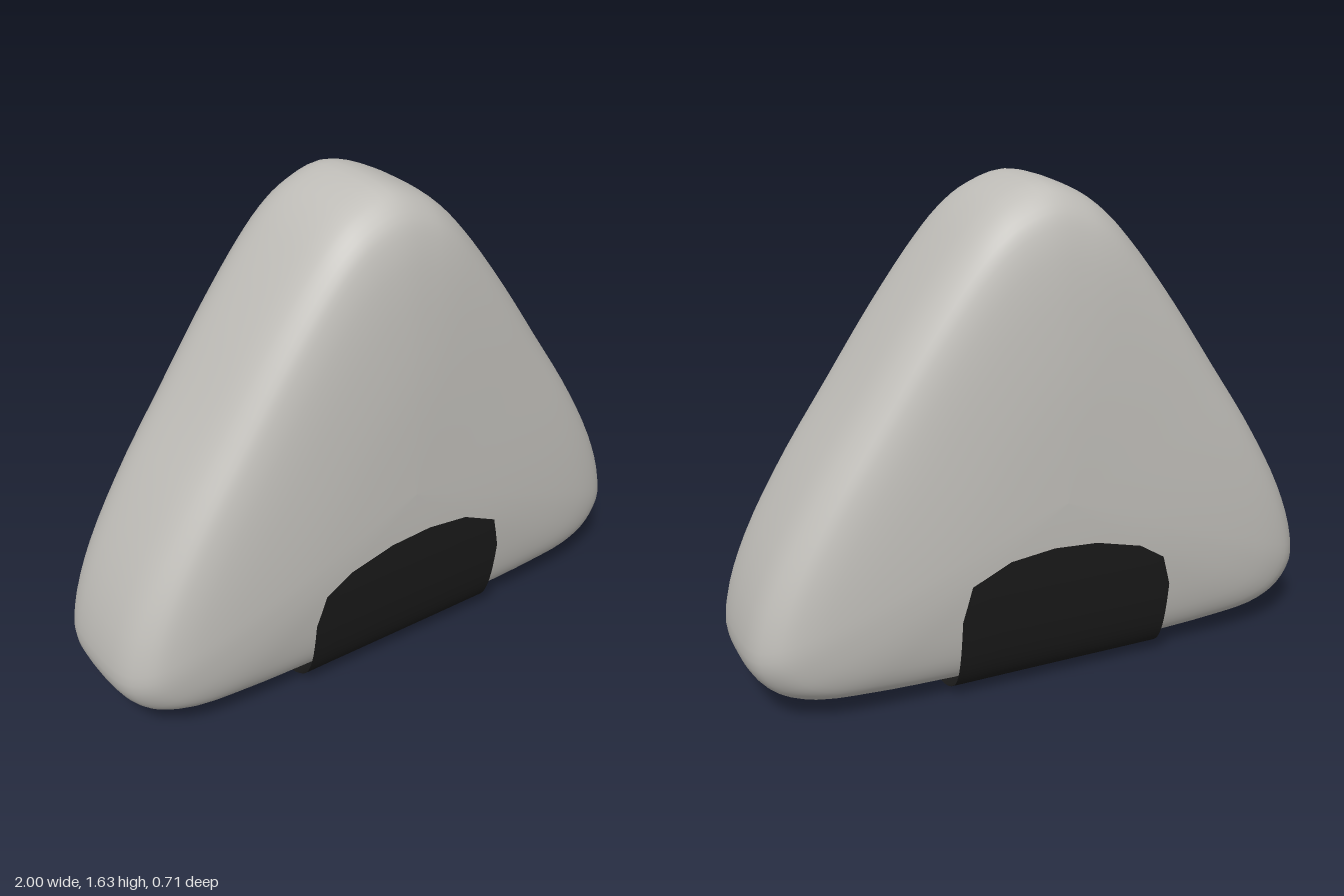
import * as THREE from 'three';

const V = (x, y) => new THREE.Vector3(x, y, 0);
const CY = 0.65; // height of the centre of the triangle

// Builds an indexed surface from a grid of points; columns may wrap around
function gridGeometry(rows, cols, wrap, point) {
  const pos = [], idx = [];
  const w = wrap ? cols : cols + 1;
  for (let r = 0; r <= rows; r++)
    for (let c = 0; c < w; c++) pos.push(...point(r / rows, c / cols));
  for (let r = 0; r < rows; r++)
    for (let c = 0; c < cols; c++) {
      const a = r * w + c, b = r * w + (c + 1) % w;
      idx.push(a, a + w, b, b, a + w, b + w);
    }
  const g = new THREE.BufferGeometry();
  g.setAttribute('position', new THREE.Float32BufferAttribute(pos, 3));
  g.setIndex(idx);
  g.computeVertexNormals();
  return g;
}

// Rounded triangle outline, counter-clockwise from the tip
const half = [[0.125, 1.592], [0.21, 1.533], [0.3, 1.437], [0.45, 1.24], [0.62, 0.99], [0.79, 0.735],
  [0.92, 0.5], [0.985, 0.32], [0.996, 0.2], [0.94, 0.11], [0.84, 0.06], [0.65, 0.038], [0.36, 0.027]];
const outline = new THREE.CatmullRomCurve3([
  V(0, 1.63), ...half.map(([x, y]) => V(-x, y)), V(0, 0.02),
  ...half.slice().reverse().map(([x, y]) => V(x, y)),
], true);

// Pillow profile: x = scale of the outline, y = depth, from front centre to back centre
const depth = [[0, 0.345], [0.2, 0.342], [0.4, 0.335], [0.6, 0.32], [0.75, 0.302], [0.85, 0.281],
  [0.92, 0.252], [0.97, 0.2], [0.99, 0.148], [0.998, 0.08]];
const profile = new THREE.CatmullRomCurve3([
  ...depth.map(([s, z]) => V(s, z)), V(1, 0),
  ...depth.slice().reverse().map(([s, z]) => V(s, -z)),
]);

// Profile parameter at which the front half reaches a given scale
function findScale(s) {
  let lo = 0, hi = 0.5;
  for (let i = 0; i < 24; i++) {
    const mid = (lo + hi) / 2;
    if (profile.getPoint(mid).x < s) lo = mid; else hi = mid;
  }
  return lo;
}

// Upper edge of the wrapper across its width
const edge = [[-0.383, 0.29], [-0.35, 0.4], [-0.26, 0.458], [-0.1, 0.5], [0.05, 0.51],
  [0.2, 0.492], [0.33, 0.43], [0.36, 0.31]];
function edgeHeight(x) {
  let i = 1;
  while (i < edge.length - 1 && x > edge[i][0]) i++;
  const [x0, y0] = edge[i - 1], [x1, y1] = edge[i];
  return y0 + (y1 - y0) * (x - x0) / (x1 - x0);
}

export function createModel() {
  const group = new THREE.Group();
  const rice = new THREE.MeshStandardMaterial({ color: 0xc0beb9 });
  rice.name = 'rice grey';
  const seaweed = new THREE.MeshStandardMaterial({ color: 0x1a1a1a, side: THREE.DoubleSide });
  seaweed.name = 'seaweed black';

  // Soft rounded triangular body
  const body = new THREE.Mesh(gridGeometry(60, 96, true, (v, u) => {
    const p = profile.getPoint(v), o = outline.getPoint(u);
    return [o.x * p.x, CY + (o.y - CY) * p.x, p.y];
  }), rice);
  body.name = 'riceBody';
  group.add(body);

  // Thin sheet folded under the base and up both faces
  const columns = edge.flatMap(([x], i) => (i < edge.length - 1 ? [x, (x + edge[i + 1][0]) / 2] : [x]));
  const n = columns.length - 1;
  const wrapper = new THREE.Mesh(gridGeometry(48, n, false, (v, u) => {
    const x = columns[Math.round(u * n)];
    const t0 = findScale((CY - edgeHeight(x)) / 0.648);
    const p = profile.getPoint(t0 + v * (1 - 2 * t0));
    const lift = 0.014 * THREE.MathUtils.clamp(p.y / 0.1, -1, 1);
    return [x, CY - 0.648 * p.x, p.y + lift];
  }), seaweed);
  wrapper.name = 'seaweedWrapper';
  group.add(wrapper);
  return group;
}
